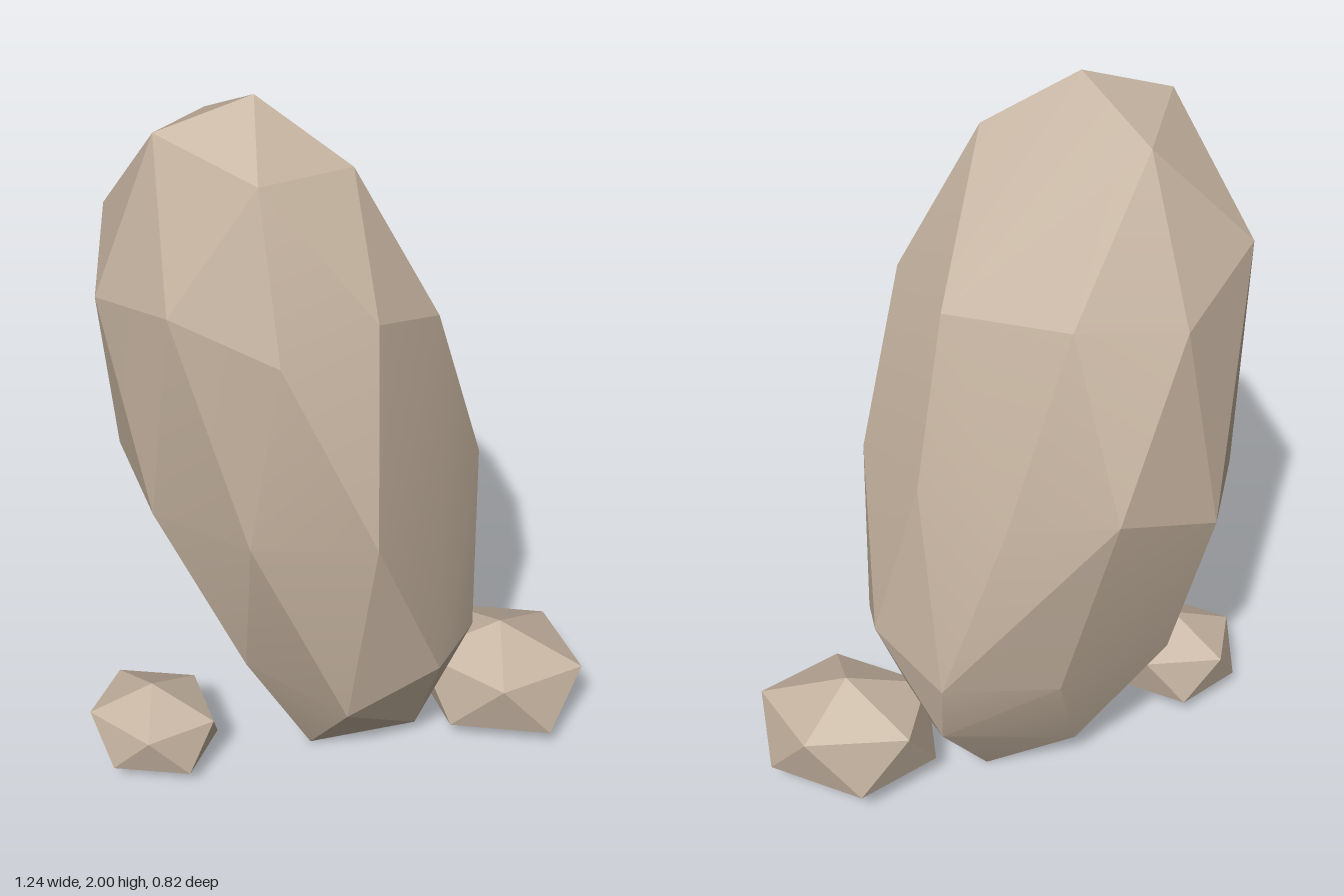
import * as THREE from 'three';
import { ConvexGeometry } from 'three/addons/geometries/ConvexGeometry.js';
import { toCreasedNormals } from 'three/addons/utils/BufferGeometryUtils.js';

// Faceted stone wrapped around a few corner points
function stone(name, corners, crease, material) {
  const hull = new ConvexGeometry(corners.map((c) => new THREE.Vector3(...c)));
  const mesh = new THREE.Mesh(toCreasedNormals(hull, crease), material);
  mesh.name = name;
  return mesh;
}

// Pebble: two staggered rings of five corners with a tip above and below
function pebble(name, x, z, rx, rz, height, low, high, material) {
  const corners = [[x, height, z], [x, 0, z]];
  for (let i = 0; i < 10; i++) {
    const a = (i * Math.PI) / 5;
    corners.push([x + rx * Math.cos(a), i % 2 ? low : high, z + rz * Math.sin(a)]);
  }
  return stone(name, corners, 0.1, material);
}

export function createModel() {
  const group = new THREE.Group();
  group.name = 'standingStones';
  const rock = new THREE.MeshStandardMaterial({ color: 0xc4b29f });
  rock.name = 'warm grey stone';

  // Tall leaning stone, listed from its crown down to its foot
  const corners = [
    // crown
    [-0.16, 2.0, 0.11], [-0.36, 1.92, 0.22], [-0.08, 1.87, 0.28], [0.07, 1.855, 0.09], [-0.34, 1.88, -0.01],
    // shoulder
    [-0.58, 1.62, 0.07], [-0.5, 1.5, 0.29], [-0.26, 1.56, 0.4], [0.01, 1.48, 0.385], [0.19, 1.555, 0.24],
    [0.265, 1.48, 0.04], [0.12, 1.48, -0.15], [-0.2, 1.5, -0.21], [-0.46, 1.5, -0.16],
    // waist
    [-0.555, 0.94, -0.14], [-0.565, 0.94, 0.11], [-0.36, 0.93, 0.34], [-0.07, 0.95, 0.405], [0.23, 0.98, 0.33],
    [0.338, 1.02, -0.09], [0.16, 1.05, -0.278], [-0.07, 1.0, -0.345], [-0.34, 1.04, -0.325],
    // lower body
    [-0.45, 0.45, -0.07], [-0.16, 0.43, 0.26], [0.12, 0.33, 0.25], [0.33, 0.475, 0.135],
    [0.35, 0.465, -0.07], [0.285, 0.57, -0.268], [0.09, 0.48, -0.378], [-0.2, 0.45, -0.28], [0.1, 0.28, -0.335],
    // foot
    [-0.22, 0.12, -0.12], [-0.06, 0.01, 0.07], [0.02, 0.0, -0.14], [0.2, 0.06, -0.06],
  ];
  group.add(stone('tallStone', corners, 0.22, rock));

  // Small stones beside the foot
  group.add(pebble('leftPebble', 0.38, -0.235, 0.238, 0.188, 0.35, 0.09, 0.26, rock));
  group.add(pebble('rightPebble', -0.44, 0.265, 0.18, 0.153, 0.27, 0.065, 0.193, rock));
  return group;
}
